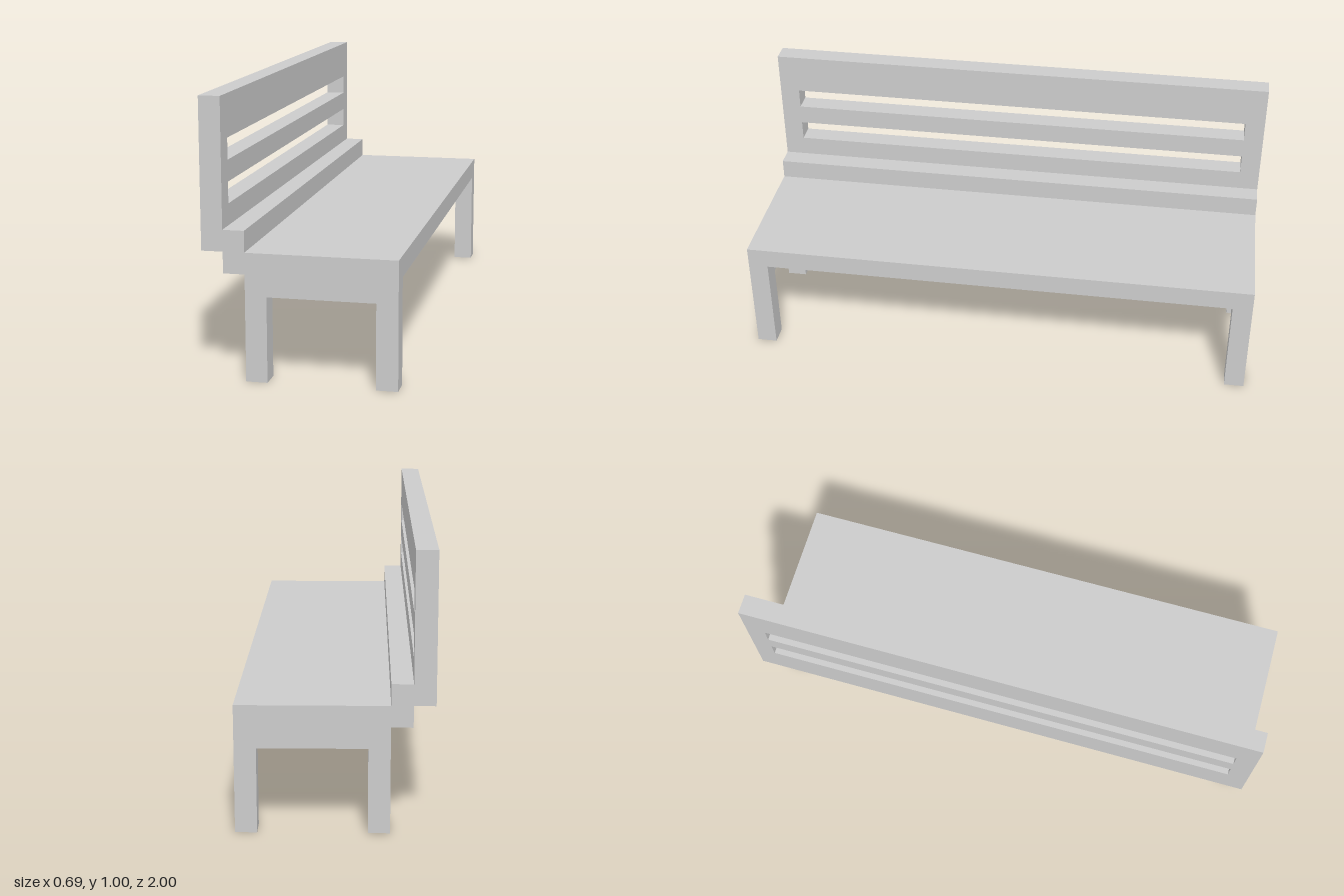
import * as THREE from 'three';

// The bench sits on a regular grid: 13 units tall, 26 long, 9 deep.
const U = 1 / 13;

const scaled = (points) => points.map(([x, y]) => new THREE.Vector2(x * U, y * U));
const rect = (x0, y0, x1, y1) => [[x0, y0], [x1, y0], [x1, y1], [x0, y1]];

// Extrudes an outline (in grid units) with optional holes along +z.
function slab(name, outline, depth, material, holes = []) {
  const shape = new THREE.Shape(scaled(outline));
  for (const hole of holes) shape.holes.push(new THREE.Path(scaled(hole)));
  const geometry = new THREE.ExtrudeGeometry(shape, { depth: depth * U, bevelEnabled: false });
  const mesh = new THREE.Mesh(geometry, material);
  mesh.name = name;
  return mesh;
}

export function createModel() {
  const bench = new THREE.Group();
  bench.name = 'bench';
  const material = new THREE.MeshStandardMaterial({ color: 0xcccccc, flatShading: true });

  // Seat board with the raised step along its rear edge
  const seat = slab('seat', [
    [-3.5, 5], [4.5, 5], [4.5, 6], [-2.5, 6], [-2.5, 7], [-3.5, 7],
  ], 26, material);
  seat.position.z = -13 * U;
  bench.add(seat);

  // Backrest panel with two long slots, turned to run along z
  const backrest = slab('backrest', rect(-13, 6, 13, 13), 1, material, [
    rect(-12, 8, 12, 9),
    rect(-12, 10, 12, 11),
  ]);
  backrest.rotation.y = -Math.PI / 2;
  backrest.position.x = -3.5 * U;
  bench.add(backrest);

  // End frames: two legs joined by a rail under the seat
  for (const [name, z] of [['nearLegFrame', 12], ['farLegFrame', -13]]) {
    const frame = slab(name, [
      [-2.5, 0], [-1.5, 0], [-1.5, 4], [3.5, 4], [3.5, 0], [4.5, 0], [4.5, 5], [-2.5, 5],
    ], 1, material);
    frame.position.z = z * U;
    bench.add(frame);
  }

  return bench;
}
